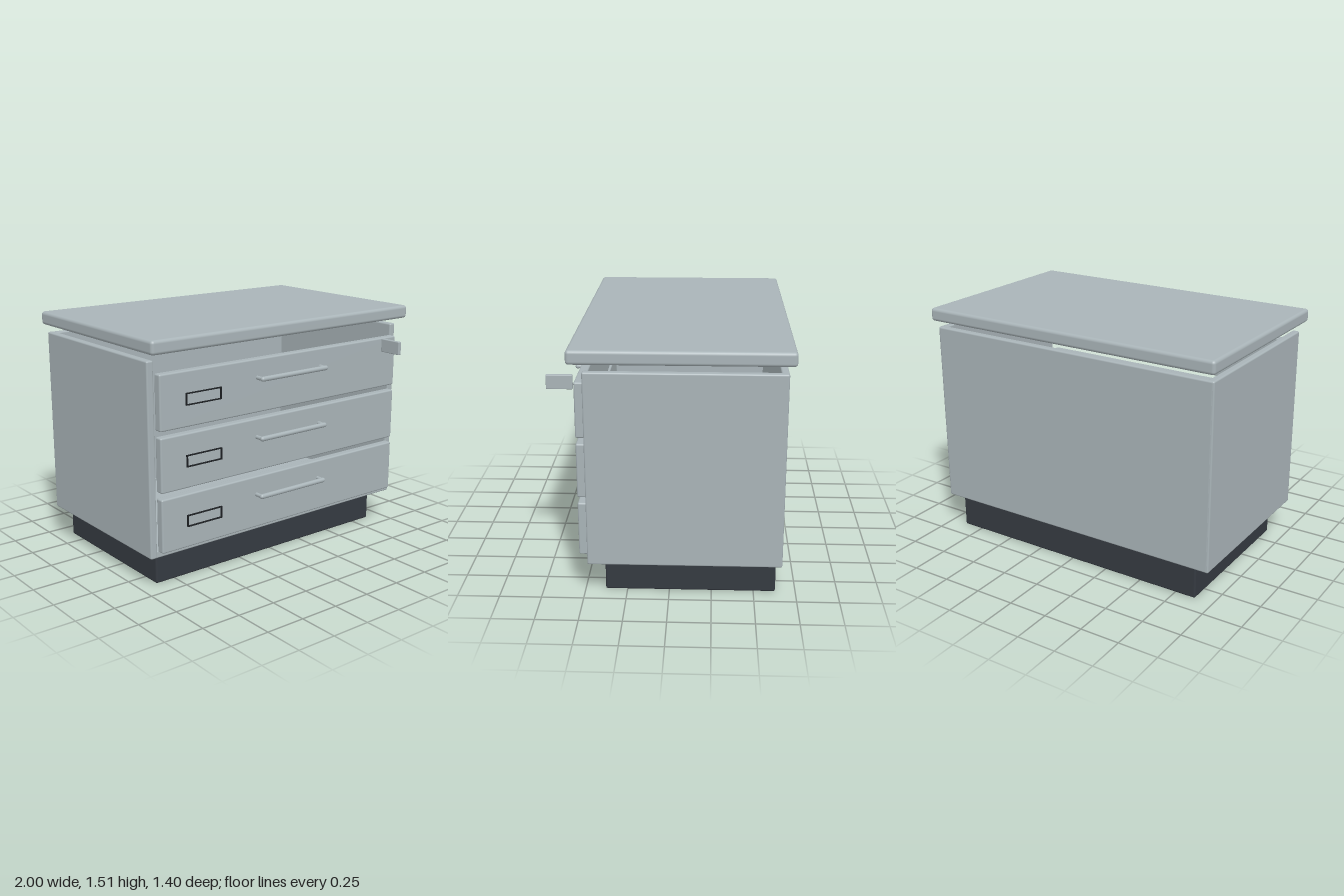
import * as THREE from 'three';
import { RoundedBoxGeometry } from 'three/addons/geometries/RoundedBoxGeometry.js';

const paint = new THREE.MeshStandardMaterial({ color: 0xa9b4b8 });
paint.name = 'greyPaint';
const plinthDark = new THREE.MeshStandardMaterial({ color: 0x353a41 });
plinthDark.name = 'darkPlinth';
const frameBlack = new THREE.MeshStandardMaterial({ color: 0x1e2124 });
frameBlack.name = 'blackFrame';

// Box given by its min and max corners, with rounded edges
function block(name, [x0, y0, z0], [x1, y1, z1], radius, material = paint) {
  const geometry = new RoundedBoxGeometry(x1 - x0, y1 - y0, z1 - z0, 3, radius);
  const mesh = new THREE.Mesh(geometry, material);
  mesh.name = name;
  mesh.position.set((x0 + x1) / 2, (y0 + y1) / 2, (z0 + z1) / 2);
  return mesh;
}

// Bar handle on two posts, centred on its own height
function makeHandle() {
  const handle = new THREE.Group();
  handle.name = 'handle';
  const bar = new THREE.Mesh(new THREE.CapsuleGeometry(0.015, 0.5, 4, 16), paint);
  bar.name = 'handleBar';
  bar.rotation.z = Math.PI / 2;
  bar.position.z = 0.592;
  handle.add(bar);
  for (const side of [-1, 1]) {
    const post = new THREE.Mesh(new THREE.CylinderGeometry(0.012, 0.012, 0.056, 16), paint);
    post.name = 'handlePost';
    post.rotation.x = Math.PI / 2;
    post.position.set(side * 0.25, 0, 0.568);
    handle.add(post);
  }
  return handle;
}

// Thin rectangular label frame, open in the middle
function makeLabelFrame() {
  const w = 0.125, h = 0.036, t = 0.006;
  const shape = new THREE.Shape([
    new THREE.Vector2(-w, -h), new THREE.Vector2(w, -h),
    new THREE.Vector2(w, h), new THREE.Vector2(-w, h),
  ]);
  shape.holes.push(new THREE.Path([
    new THREE.Vector2(-w + t, -h + t), new THREE.Vector2(-w + t, h - t),
    new THREE.Vector2(w - t, h - t), new THREE.Vector2(w - t, -h + t),
  ]));
  const geometry = new THREE.ExtrudeGeometry(shape, { depth: 0.012, bevelEnabled: false });
  const mesh = new THREE.Mesh(geometry, frameBlack);
  mesh.name = 'labelFrame';
  return mesh;
}

export function createModel() {
  const model = new THREE.Group();
  model.name = 'drawerCabinet';

  // Worktop and plinth
  model.add(block('worktop', [-1, 1.425, -0.7], [1, 1.508, 0.56], 0.02));
  model.add(block('plinth', [-0.885, 0, -0.63], [0.885, 0.225, 0.38], 0.012, plinthDark));

  // Carcass, open at the front and top
  const carcass = new THREE.Group();
  carcass.name = 'carcass';
  carcass.add(block('rightPanel', [-0.98, 0.21, -0.66], [-0.935, 1.38, 0.475], 0.01));
  carcass.add(block('leftPanel', [0.935, 0.21, -0.66], [0.98, 1.38, 0.475], 0.01));
  carcass.add(block('backPanel', [-0.975, 0.211, -0.661], [0.975, 1.379, -0.617], 0.01));
  carcass.add(block('bottomPanel', [-0.96, 0.21, -0.655], [0.96, 0.254, 0.472], 0.008));
  model.add(carcass);

  // Three drawers
  for (let i = 0; i < 3; i++) {
    const top = 1.308 - i * 0.364;
    const drawer = new THREE.Group();
    drawer.name = 'drawer';
    drawer.add(block('drawerFront', [-0.933, top - 0.328, 0.473], [0.933, top, 0.527], 0.01));
    const handle = makeHandle();
    handle.position.y = top - 0.11;
    drawer.add(handle);
    const label = makeLabelFrame();
    label.position.set(-0.635, top - 0.163, 0.526);
    drawer.add(label);
    model.add(drawer);
  }

  // Key by the top drawer
  model.add(block('key', [0.777, 1.225, 0.55], [0.802, 1.31, 0.702], 0.005));
  return model;
}
